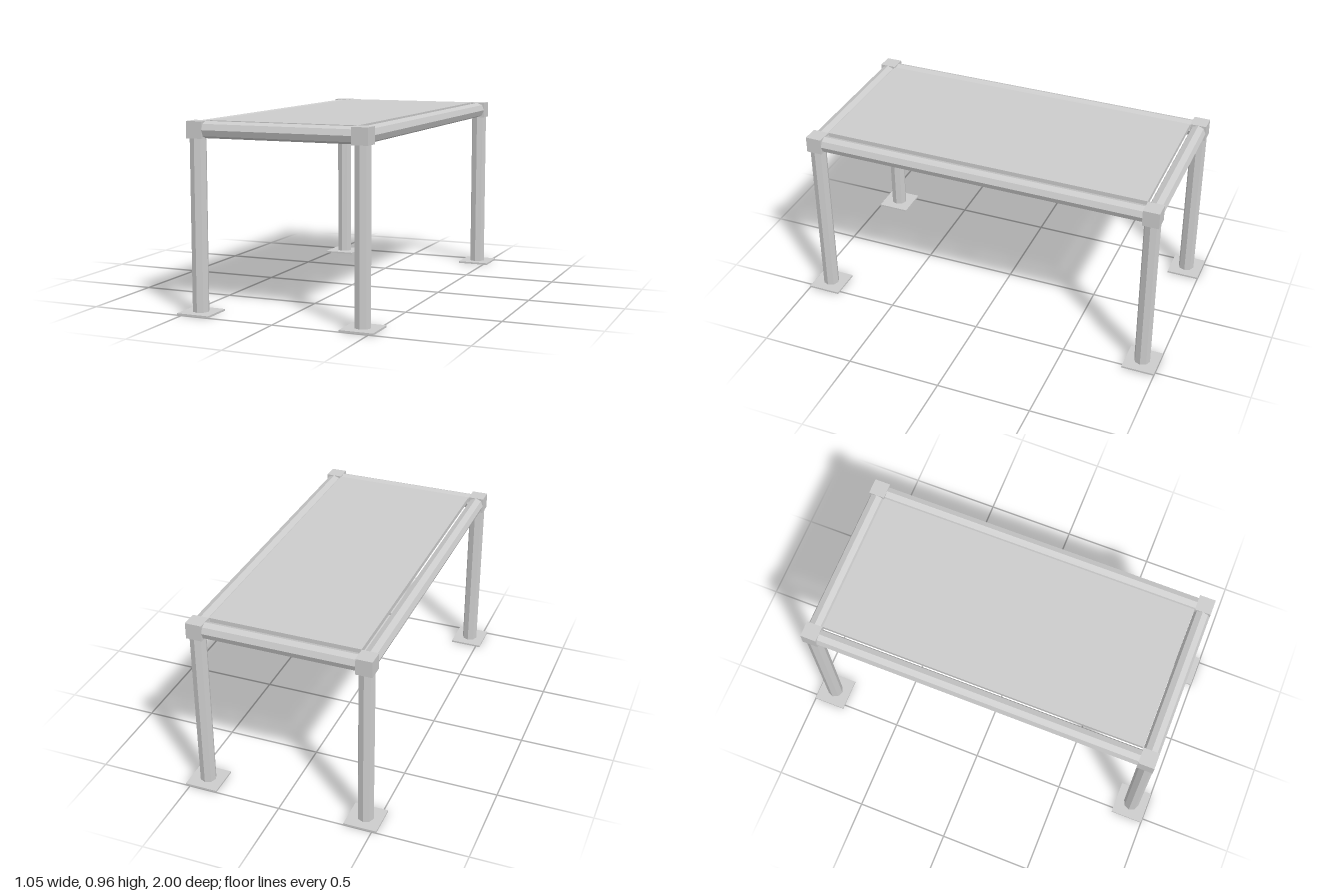
import * as THREE from 'three';

const X = 0.437, Z = 0.912;      // post centre lines
const TOP = 0.964, SIZE = 0.085; // overall height, corner block size
const MID = TOP - SIZE / 2;      // beam centre height
const PLATE = 0.01;

export function createModel() {
  const group = new THREE.Group();
  const material = new THREE.MeshStandardMaterial({ color: 0xcccccc, flatShading: true });

  function add(name, geometry, x, y, z) {
    const mesh = new THREE.Mesh(geometry, material);
    mesh.name = name;
    mesh.position.set(x, y, z);
    group.add(mesh);
    return mesh;
  }

  // Octagonal bar with corners on its axes
  const bar = (length) => new THREE.CylinderGeometry(SIZE / 2, SIZE / 2, length, 8);

  // Four posts with foot plates and corner blocks
  const legHeight = TOP - SIZE - PLATE;
  for (const sx of [-1, 1]) {
    for (const sz of [-1, 1]) {
      add('footPlate', new THREE.BoxGeometry(0.174, PLATE, 0.174), sx * X, PLATE / 2, sz * 0.913);
      add('leg', bar(legHeight), sx * X, PLATE + legHeight / 2, sz * Z);
      add('cornerBlock', new THREE.BoxGeometry(SIZE, SIZE, SIZE), sx * X, MID, sz * Z);
    }
  }

  // Beams joining the corner blocks
  for (const s of [-1, 1]) {
    add('endBeam', bar(2 * X - SIZE), 0, MID, s * Z).rotation.z = Math.PI / 2;
    add('sideBeam', bar(2 * Z - SIZE), s * X, MID, 0).rotation.x = Math.PI / 2;
  }

  // Flat panel set inside the frame, level with its top
  const thickness = 0.025;
  add('topPanel', new THREE.BoxGeometry(0.786, thickness, 1.736), 0, TOP - thickness / 2, 0);

  return group;
}
